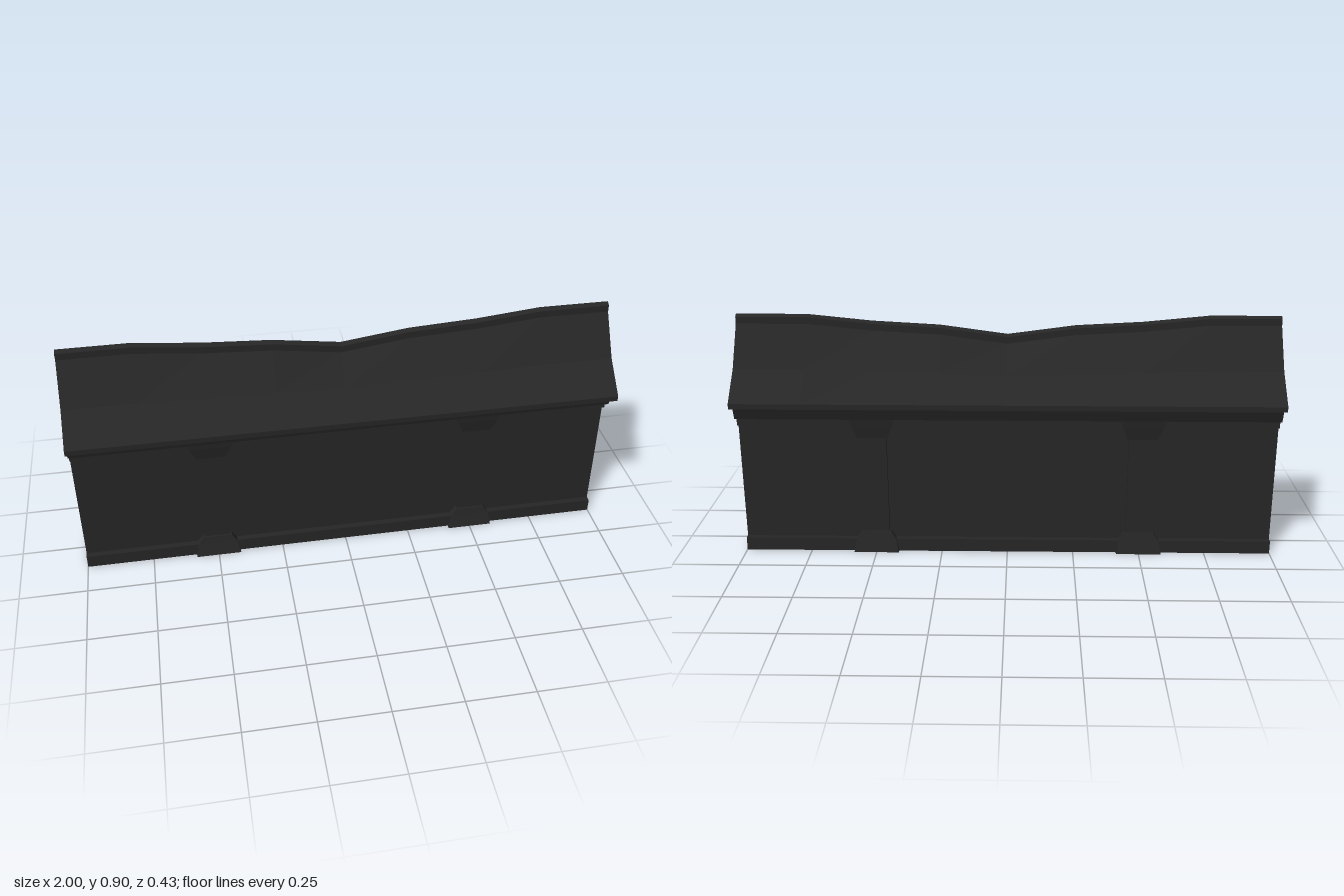
import * as THREE from 'three';

const stone = new THREE.MeshStandardMaterial({ color: 0x262626, side: THREE.DoubleSide });
stone.name = 'dark stone';

function flatGeometry(points) {
  const g = new THREE.BufferGeometry().setFromPoints(points);
  g.computeVertexNormals();
  return g;
}

// Joins closed (z, y) profiles, listed counter-clockwise, along x and caps both ends.
function sweep(sections) {
  const out = [];
  const rings = sections.map(({ x, profile }) => profile.map(([z, y]) => new THREE.Vector3(x, y, z)));
  for (let s = 0; s < rings.length - 1; s++) {
    const p = rings[s], q = rings[s + 1];
    for (let i = 0; i < p.length; i++) {
      const j = (i + 1) % p.length;
      out.push(p[i], q[i], q[j], p[i], q[j], p[j]);
    }
  }
  const caps = [[rings[0], sections[0].profile, false],
    [rings.at(-1), sections.at(-1).profile, true]];
  for (const [ring, profile, flip] of caps) {
    const contour = profile.map(([z, y]) => new THREE.Vector2(z, y));
    for (const [a, b, c] of THREE.ShapeUtils.triangulateShape(contour, [])) {
      out.push(ring[a], ring[flip ? c : b], ring[flip ? b : c]);
    }
  }
  return flatGeometry(out);
}

// Stacks rectangles [y, half width, half depth]; the top is closed, the bottom optional.
function tiers(levels, closedBottom) {
  const out = [];
  const rings = levels.map(([y, w, d]) =>
    [[-w, d], [w, d], [w, -d], [-w, -d]].map(([x, z]) => new THREE.Vector3(x, y, z)));
  for (let s = 0; s < rings.length - 1; s++) {
    const p = rings[s], q = rings[s + 1];
    for (let i = 0; i < 4; i++) {
      const j = (i + 1) % 4;
      out.push(p[i], p[j], q[j], p[i], q[j], q[i]);
    }
  }
  const t = rings.at(-1), b = rings[0];
  out.push(t[0], t[1], t[2], t[0], t[2], t[3]);
  if (closedBottom) out.push(b[0], b[2], b[1], b[0], b[3], b[2]);
  return flatGeometry(out);
}

// Mirrors the +z half of a profile (bottom to top) to the -z side.
const mirrored = half => [...half, ...half.map(([z, y]) => [-z, y]).reverse()];

export function createModel() {
  const model = new THREE.Group();
  model.name = 'roofedWall';
  const add = (name, geometry, parent = model) => {
    const mesh = new THREE.Mesh(geometry, stone);
    mesh.name = name;
    parent.add(mesh);
    return mesh;
  };

  // Wall with its stepped cornice
  const wall = mirrored([[0.095, 0.05], [0.095, 0.505], [0.115, 0.505], [0.115, 0.54],
    [0.145, 0.54], [0.165, 0.602]]);
  add('wall', sweep([-1, 1].map(x => ({ x, profile: wall }))));

  // Hollow plinth, open underneath
  add('plinth', tiers([[0, 1, 0.117], [0.05, 1, 0.117]], false));

  // Piers standing proud of both faces of the wall
  for (const side of [-1, 1]) {
    const pier = new THREE.Group();
    pier.name = side > 0 ? 'leftPier' : 'rightPier';
    pier.position.x = side * 0.5;
    add('pierBase', tiers([[0, 0.085, 0.133], [0.05, 0.075, 0.122], [0.08, 0.055, 0.116]], false), pier);
    add('pierShaft', tiers([[0.08, 0.05, 0.109], [0.46, 0.05, 0.109]], true), pier);
    add('pierCapital', tiers([[0.46, 0.055, 0.12], [0.51, 0.075, 0.13], [0.54, 0.085, 0.134]], true), pier);
    model.add(pier);
  }

  // Ridge height along x, sagging in the middle
  const ridge = [[-1, 0.9], [-0.74, 0.9], [-0.5, 0.876], [-0.25, 0.862], [0, 0.828],
    [0.25, 0.862], [0.5, 0.876], [0.74, 0.9], [1, 0.9]];

  // Two-pitch roof
  add('roof', sweep(ridge.map(([x, top]) => ({
    x,
    profile: mirrored([[0.213, 0.6], [0.213, 0.62], [0.108, 0.72 - (0.9 - top) * 0.3], [0.014, top - 0.032]]),
  }))));

  // Ridge cap following the sag
  add('ridgeCap', sweep(ridge.map(([x, top]) => ({
    x,
    profile: mirrored([[0.015, top - 0.04], [0.015, top - 0.008], [0.003, top]]),
  }))));

  return model;
}
